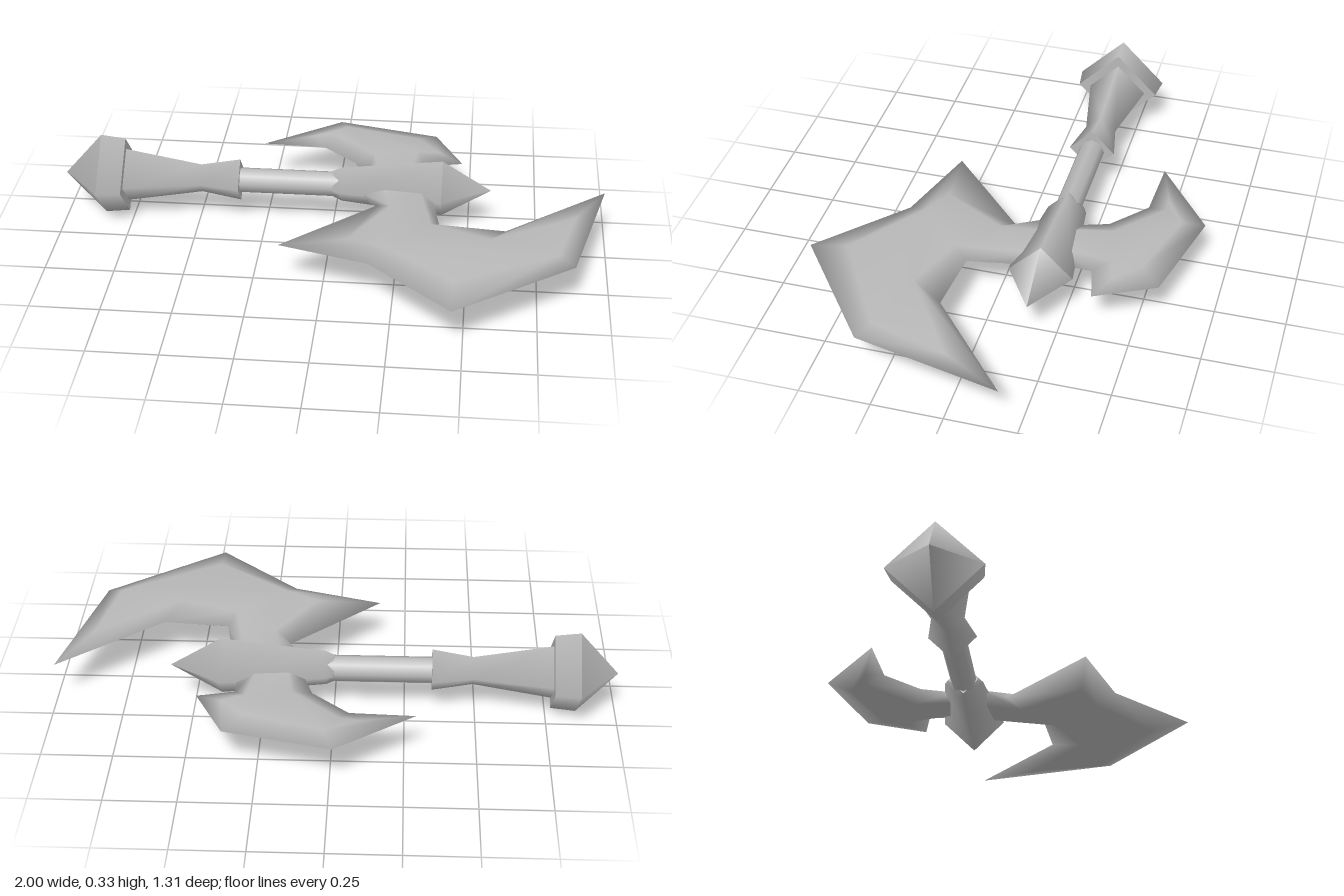
import * as THREE from 'three';

const AXIS_Y = 0.163, AXIS_Z = -0.165;

// Lathed section along x; each run of [x, radius] points is smooth, with a crease between runs.
function shaftPart(name, sides, runs, material) {
  const group = new THREE.Group();
  group.name = name;
  for (const run of runs) {
    const profile = run.map(([x, r]) => new THREE.Vector2(r, x));
    const geometry = new THREE.LatheGeometry(profile, sides);
    geometry.rotateZ(-Math.PI / 2);
    const mesh = new THREE.Mesh(geometry, material);
    mesh.name = name + 'Section';
    group.add(mesh);
  }
  group.position.set(0, AXIS_Y, AXIS_Z);
  return group;
}

// Blade with a sharp rim: rows are [rimX, rimZ, ridgeX, ridgeZ, ridgeHeight].
function blade(name, rows, material) {
  const n = rows.length;
  const pos = [];
  rows.forEach(([x, z]) => pos.push(x, 0, z));
  rows.forEach(([, , x, z, h]) => pos.push(x, h, z));
  rows.forEach(([, , x, z, h]) => pos.push(x, -h, z));

  // bevel between rim and ridge, then the plateau inside the ridge
  const tris = [];
  for (let i = 0; i < n; i++) {
    const j = (i + 1) % n;
    tris.push([i, j, n + j], [i, n + j, n + i]);
  }
  const ridge = rows.map(([, , x, z]) => new THREE.Vector2(x, z));
  for (const t of THREE.ShapeUtils.triangulateShape(ridge, [])) tris.push(t.map((k) => k + n));

  const index = [];
  const under = (k) => (k < n ? k : k + n);
  for (const [a, b, c] of tris) {
    const ux = pos[b * 3] - pos[a * 3], uz = pos[b * 3 + 2] - pos[a * 3 + 2];
    const vx = pos[c * 3] - pos[a * 3], vz = pos[c * 3 + 2] - pos[a * 3 + 2];
    const [p, q] = uz * vx - ux * vz > 0 ? [b, c] : [c, b];
    index.push(a, p, q, under(a), under(q), under(p));
  }
  const geometry = new THREE.BufferGeometry();
  geometry.setAttribute('position', new THREE.Float32BufferAttribute(pos, 3));
  geometry.setIndex(index);
  geometry.computeVertexNormals();
  const mesh = new THREE.Mesh(geometry, material);
  mesh.name = name;
  mesh.position.y = AXIS_Y;
  return mesh;
}

export function createModel() {
  const steel = new THREE.MeshStandardMaterial({ color: 0xb8b8b8 });
  steel.name = 'steel grey';

  const axe = new THREE.Group();
  axe.name = 'battleAxe';

  axe.add(
    shaftPart('pommel', 4, [
      [[-1, 0], [-0.86, 0.163]],
      [[-0.86, 0.163], [-0.77, 0.152]],
      [[-0.77, 0.152], [-0.77, 0]],
    ], steel),
    shaftPart('grip', 4, [
      [[-0.77, 0.108], [-0.49, 0.057], [-0.345, 0.085]],
      [[-0.345, 0.085], [-0.345, 0]],
    ], steel),
    shaftPart('shaft', 8, [[[-0.36, 0.047], [0.03, 0.047]]], steel),
    shaftPart('headSocket', 4, [
      [[0, 0], [0, 0.055]],
      [[0, 0.055], [0.03, 0.07], [0.4, 0.113]],
      [[0.4, 0.113], [0.58, 0]],
    ], steel),
  );

  // large hooked blade on the front side
  axe.add(blade('largeBlade', [
    [0.10, -0.11, 0.19, -0.12, 0.020],
    [0.17, -0.02, 0.22, 0.03, 0.030],
    [-0.155, 0.285, 0.08, 0.26, 0.022],
    [0.165, 0.38, 0.20, 0.31, 0.033],
    [0.46, 0.65, 0.46, 0.51, 0.028],
    [0.875, 0.34, 0.82, 0.30, 0.024],
    [0.995, -0.185, 0.88, 0.03, 0.012],
    [0.635, 0.12, 0.58, 0.23, 0.030],
    [0.40, 0.10, 0.37, 0.15, 0.034],
    [0.365, -0.11, 0.32, -0.12, 0.020],
  ], steel));

  // small blade on the back side
  axe.add(blade('smallBlade', [
    [-0.29, -0.455, -0.10, -0.51, 0.015],
    [-0.01, -0.66, 0.02, -0.58, 0.022],
    [0.365, -0.57, 0.30, -0.50, 0.025],
    [0.47, -0.36, 0.38, -0.41, 0.018],
    [0.34, -0.33, 0.30, -0.39, 0.028],
    [0.335, -0.22, 0.27, -0.21, 0.018],
    [0.11, -0.21, 0.16, -0.21, 0.018],
    [0.07, -0.33, 0.14, -0.36, 0.028],
    [-0.06, -0.445, -0.03, -0.51, 0.025],
  ], steel));

  return axe;
}
